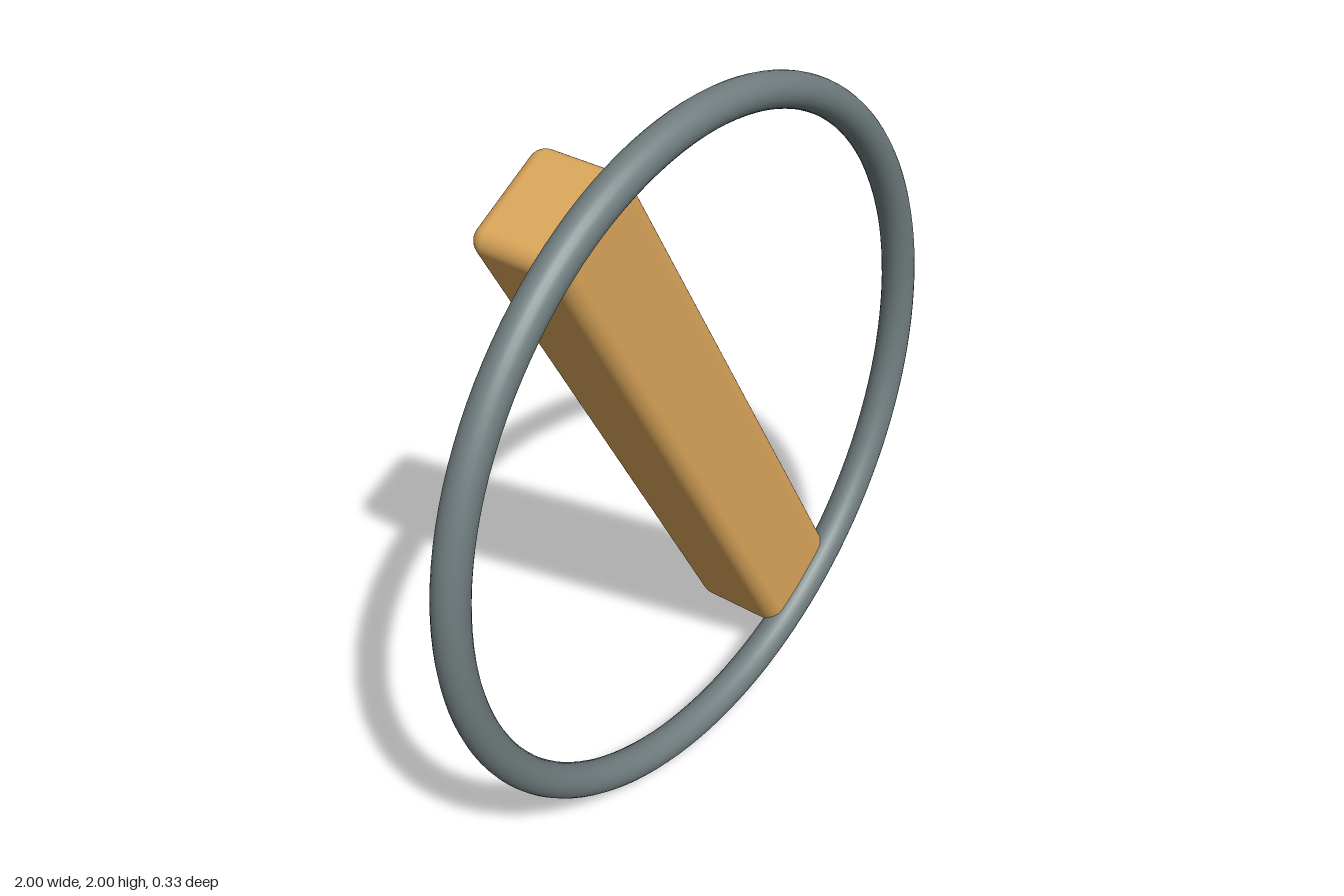
import * as THREE from 'three';
import { RoundedBoxGeometry } from 'three/addons/geometries/RoundedBoxGeometry.js';

export function createModel() {
  const model = new THREE.Group();
  const add = (name, geometry, color, x, y, z) => {
    const mesh = new THREE.Mesh(geometry, new THREE.MeshStandardMaterial({ color }));
    mesh.name = name;
    mesh.position.set(x, y, z);
    model.add(mesh);
    return mesh;
  };

  // Upright round hoop at the front
  add('ring', new THREE.TorusGeometry(0.9525, 0.0475, 24, 128), 0x6f7c7e, 0, 1, 0.118);

  // Tilted bar with softened edges, its ends sunk into the hoop
  const bar = add('diagonalBar', new RoundedBoxGeometry(0.31, 1.89, 0.29, 6, 0.045),
    0xdba65a, 0.051, 1.018, -0.02);
  bar.rotation.z = Math.PI / 6;

  return model;
}
